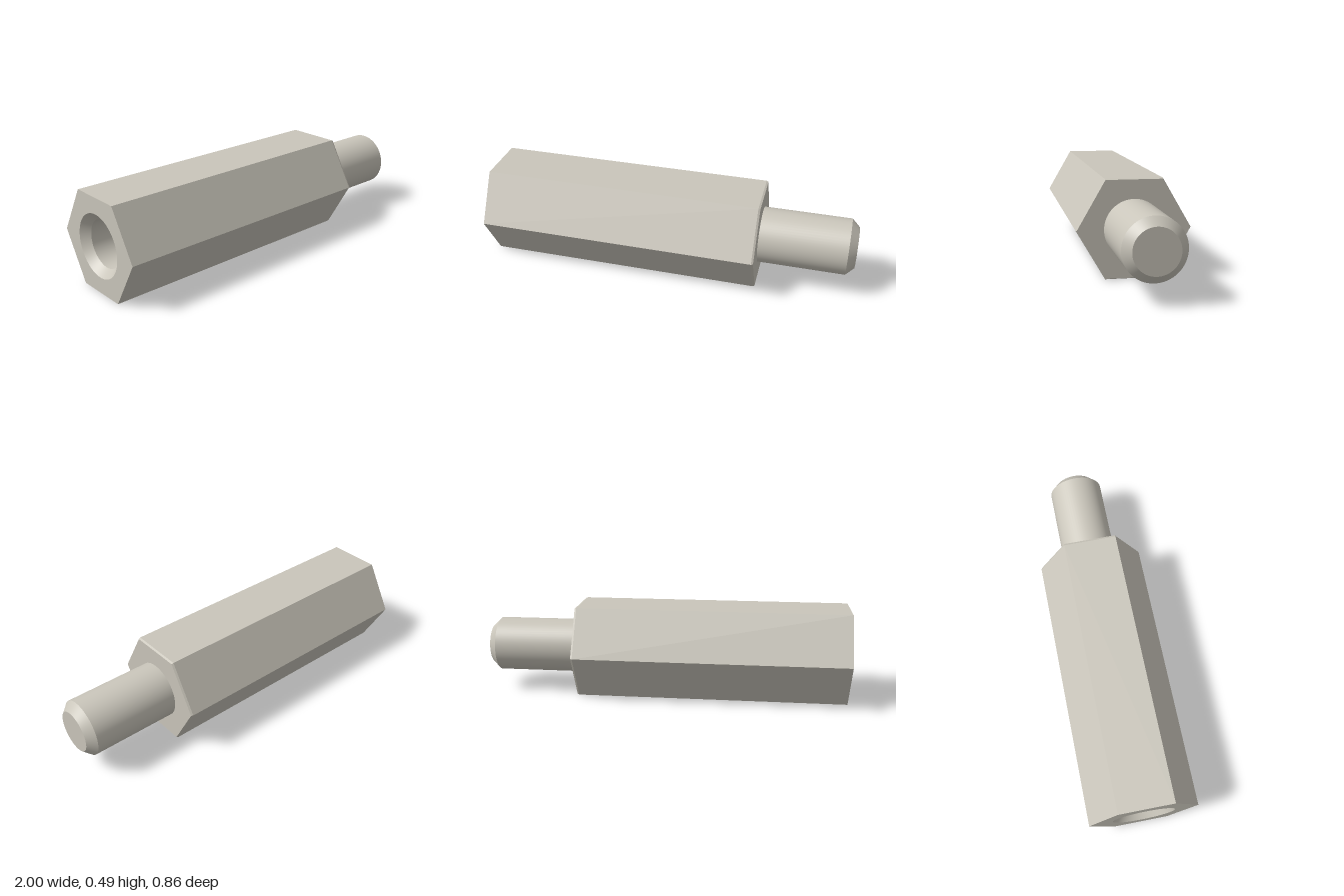
import * as THREE from 'three';
import { toCreasedNormals } from 'three/addons/utils/BufferGeometryUtils.js';

const R = 0.283;        // hex corner radius
const LENGTH = 1.467;   // hex body length
const BEVEL = 0.005;

// Lathe turned so its axis runs along +z, with crisp edges
function turned(points, segments) {
  const profile = points.map(([r, z]) => new THREE.Vector2(r, z));
  const g = new THREE.LatheGeometry(profile, segments, Math.PI / 2);
  g.rotateX(Math.PI / 2);
  return toCreasedNormals(g, 0.3);
}

// Flat hexagonal end face with a round hole
function hexFace(radius, holeRadius) {
  const corners = [];
  for (let i = 0; i < 6; i++) {
    const a = i * Math.PI / 3;
    corners.push(new THREE.Vector2(radius * Math.cos(a), radius * Math.sin(a)));
  }
  const shape = new THREE.Shape(corners);
  shape.holes.push(new THREE.Path().absarc(0, 0, holeRadius, 0, Math.PI * 2, true));
  return new THREE.ShapeGeometry(shape, 32);
}

export function createModel() {
  const metal = new THREE.MeshStandardMaterial({ color: 0xcac6bb });
  metal.name = 'nickel grey';
  const model = new THREE.Group();
  model.name = 'hexStandoff';

  const add = (name, geometry) => {
    const mesh = new THREE.Mesh(geometry, metal);
    mesh.name = name;
    model.add(mesh);
    return mesh;
  };

  // Hexagonal body, slightly bevelled at the stud end
  add('hexBody', turned([[R, 0], [R, LENGTH - 0.01], [R - BEVEL, LENGTH]], 6));
  add('studEndFace', hexFace(R - BEVEL, 0.14)).position.z = LENGTH;
  add('socketEndFace', hexFace(R, 0.161)).rotation.y = Math.PI;

  // Blind bore with countersunk mouth
  add('bore', turned([[0, 0.85], [0.122, 0.85], [0.122, 0.04], [0.161, 0]], 64));

  // Round stud with chamfered tip
  const tip = LENGTH + 0.496;
  add('stud', turned([[0.147, LENGTH - 0.01], [0.147, tip - 0.042], [0.107, tip], [0, tip]], 64));

  // Lay the part down, its axis 12 degrees off x
  model.rotation.y = THREE.MathUtils.degToRad(78);
  model.position.set(-0.941, 0.245, -0.152);

  const root = new THREE.Group();
  root.name = 'standoff';
  root.add(model);
  return root;
}
